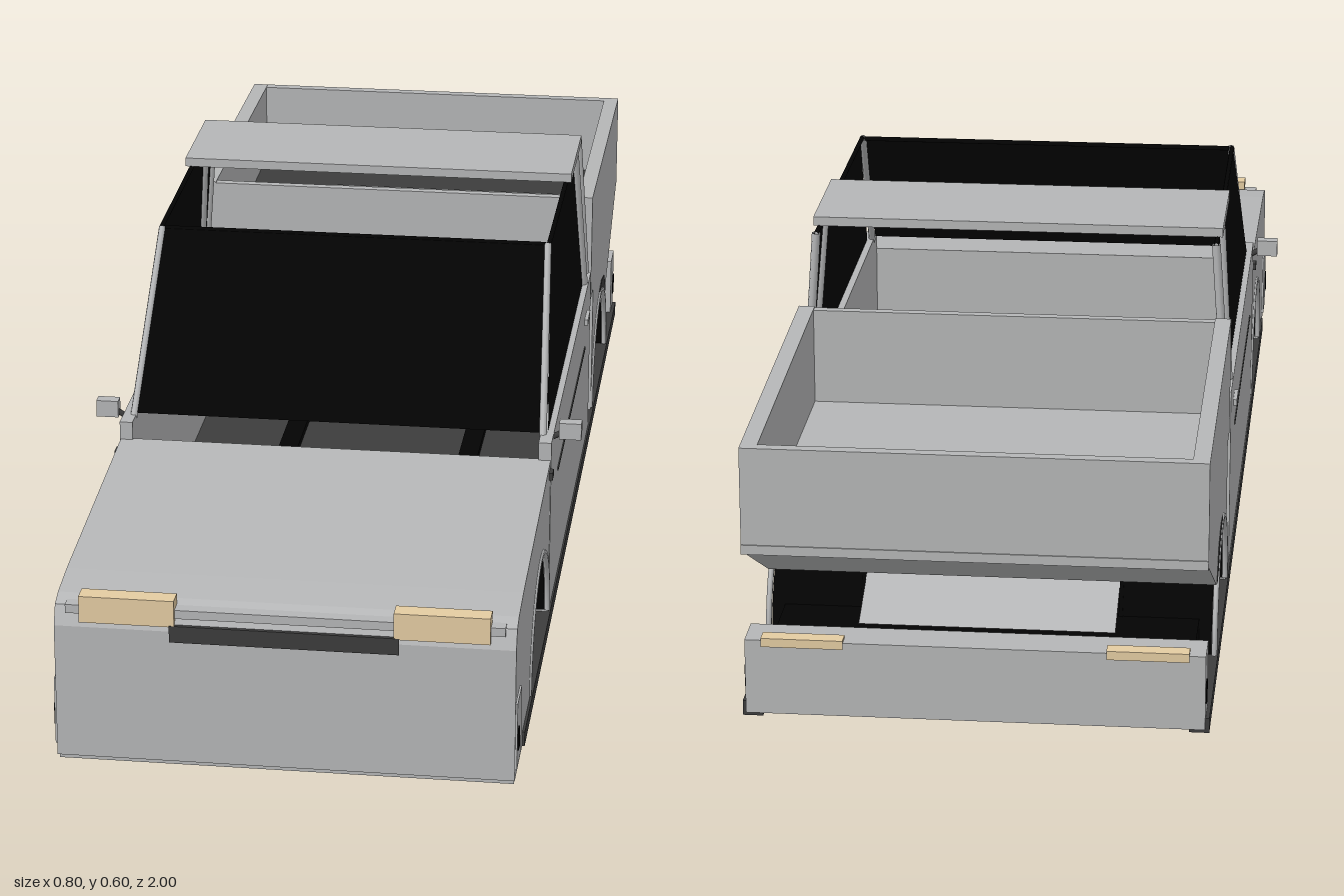
import * as THREE from 'three';

const mat = (name, color, side = THREE.FrontSide) => {
  const m = new THREE.MeshStandardMaterial({ color, side });
  m.name = name;
  return m;
};

export function createModel() {
  const root = new THREE.Group();
  root.name = 'pickupBody';
  const grey = mat('bodyGrey', 0xb5b6b7, THREE.DoubleSide);
  const dark = mat('darkGrey', 0x3c3c3c, THREE.DoubleSide);
  const black = mat('black', 0x030303, THREE.DoubleSide);
  const tan = mat('lampTan', 0xe4cca2);

  const add = (name, geo, m) => {
    const mesh = new THREE.Mesh(geo, m);
    mesh.name = name;
    root.add(mesh);
    return mesh;
  };
  // box given by its limits
  const box = (name, m, x0, x1, y0, y1, z0, z1) =>
    add(name, new THREE.BoxGeometry(x1 - x0, y1 - y0, z1 - z0)
      .translate((x0 + x1) / 2, (y0 + y1) / 2, (z0 + z1) / 2), m);
  // the same box on both sides
  const pair = (name, m, x0, x1, ...r) => {
    box(name + 'Left', m, x0, x1, ...r);
    box(name + 'Right', m, -x1, -x0, ...r);
  };
  // side profile in (z, y), extruded from x0 to x1
  const profile = (name, m, shape, x0, x1) =>
    add(name, new THREE.ExtrudeGeometry(shape, { depth: x1 - x0, bevelEnabled: false, curveSegments: 24 })
      .rotateY(-Math.PI / 2).translate(x1, 0, 0), m);
  const profilePair = (name, m, shape, x0, x1) => {
    profile(name + 'Left', m, shape, x0, x1);
    profile(name + 'Right', m, shape, -x1, -x0);
  };
  const poly = pts => new THREE.Shape(pts.map(p => new THREE.Vector2(...p)));
  // flat sheet from four corners
  const quad = (name, m, pts) => {
    const g = new THREE.BufferGeometry();
    g.setAttribute('position', new THREE.Float32BufferAttribute(pts.flat(), 3));
    g.setIndex([0, 1, 2, 0, 2, 3]);
    g.computeVertexNormals();
    return add(name, g, m);
  };
  const rod = (name, m, a, b, r) => add(name, new THREE.TubeGeometry(
    new THREE.LineCurve3(new THREE.Vector3(...a), new THREE.Vector3(...b)), 1, r, 8), m);

  // Front body: centre block and fenders with wheel arches
  const nose = [[0.998, 0.012], [0.998, 0.23], [0.985, 0.26], [0.96, 0.269], [0.89, 0.277], [0.43, 0.302]];
  profile('hoodBlock', grey, poly([[0.43, 0.012], ...nose]), -0.2, 0.2);
  const fender = new THREE.Shape().moveTo(0.43, 0.012).lineTo(0.44, 0.012).lineTo(0.44, 0.04);
  fender.absarc(0.6, 0.04, 0.16, Math.PI, 0, true);
  fender.lineTo(0.76, 0.012);
  nose.forEach(p => fender.lineTo(...p));
  profilePair('frontFender', grey, fender, 0.2, 0.352);
  box('frontUndertray', grey, -0.35, 0.35, 0.003, 0.011, 0.43, 0.99);
  profilePair('frontWellShade', black,
    poly([[0.44, 0.02], [0.76, 0.02], [0.755, 0.08], [0.72, 0.145], [0.44, 0.04]]), 0.2, 0.206);

  // Wheel well liners (upper half only) and arch trims
  for (const s of [-1, 1]) for (const z of [0.6, -0.6]) {
    const well = add('wheelWell', new THREE.CylinderGeometry(0.158, 0.158, 0.142, 32, 1, true, 0, Math.PI)
      .rotateZ(Math.PI / 2), black);
    well.position.set(s * 0.275, 0.04, z);
    const trim = add('archTrim', new THREE.TorusGeometry(0.16, 0.005, 6, 32, Math.PI).rotateY(Math.PI / 2), grey);
    trim.position.set(s * 0.351, 0.04, z);
  }

  // Nose details
  pair('headlamp', tan, 0.167, 0.313, 0.238, 0.281, 0.97, 0.9995);
  box('grille', dark, -0.175, 0.175, 0.213, 0.24, 0.97, 1.0);
  box('noseBar', grey, -0.335, 0.335, 0.25, 0.264, 0.96, 0.994);
  pair('frontBumperEnd', grey, 0.35, 0.355, 0.03, 0.14, 0.93, 0.995);
  pair('frontMarker', black, 0.354, 0.357, 0.06, 0.095, 0.975, 0.99);
  pair('sideMarker', dark, 0.351, 0.358, 0.278, 0.29, 0.44, 0.46);

  // Doors, sills and cab floor
  pair('door', grey, 0.332, 0.353, 0.035, 0.332, -0.36, 0.435);
  pair('doorCrease', dark, 0.352, 0.355, 0.232, 0.236, -0.24, 0.31);
  pair('doorHandle', grey, 0.352, 0.359, 0.28, 0.29, -0.28, -0.23);
  pair('sill', dark, 0.325, 0.356, 0.012, 0.036, -0.99, 0.88);
  pair('sillLining', grey, 0.318, 0.325, 0.011, 0.045, -0.38, 0.43);
  box('cabFloor', dark, -0.335, 0.335, 0.048, 0.054, -0.38, 0.43);
  box('cabFloorUnderside', grey, -0.335, 0.335, 0.043, 0.048, -0.38, 0.43);
  pair('floorRail', black, 0.143, 0.177, 0.015, 0.065, -0.38, 0.43);

  // Cab glass and pillars
  quad('windshield', black, [[-0.33, 0.335, 0.4], [0.33, 0.335, 0.4], [0.316, 0.584, 0.19], [-0.316, 0.584, 0.19]]);
  for (const s of [-1, 1]) {
    quad('sideWindow', black, [[s * 0.343, 0.333, 0.385], [s * 0.343, 0.333, -0.35], [s * 0.325, 0.583, -0.35], [s * 0.325, 0.583, 0.185]]);
    rod('frontPillar', grey, [s * 0.336, 0.327, 0.4], [s * 0.321, 0.583, 0.188], 0.006);
    rod('middlePillar', grey, [s * 0.343, 0.333, -0.3], [s * 0.326, 0.583, -0.262], 0.009);
    rod('rearPillar', grey, [s * 0.343, 0.325, -0.357], [s * 0.325, 0.583, -0.357], 0.007);
    rod('roofRail', black, [s * 0.323, 0.582, 0.19], [s * 0.325, 0.582, -0.36], 0.004);
    // Mirror arm
    rod('mirrorArm', dark, [s * 0.345, 0.322, 0.39], [s * 0.375, 0.338, 0.39], 0.005);
  }
  rod('windshieldHeader', black, [-0.318, 0.582, 0.188], [0.318, 0.582, 0.188], 0.004);
  pair('mirror', grey, 0.362, 0.398, 0.325, 0.353, 0.38, 0.4);
  box('roofPanel', grey, -0.334, 0.334, 0.585, 0.6, -0.325, -0.115);

  // Cargo bed: sides, walls, floor and sloped underside
  const bedSide = new THREE.Shape().moveTo(-0.38, 0.465).lineTo(-0.38, 0.272).lineTo(-0.436, 0.272)
    .lineTo(-0.436, 0.02).lineTo(-0.44, 0.02).lineTo(-0.44, 0.04);
  bedSide.absarc(-0.6, 0.04, 0.16, 0, Math.PI * 0.76, false);
  bedSide.lineTo(-0.745, 0.152).lineTo(-0.998, 0.285).lineTo(-0.998, 0.45);
  profilePair('bedSide', grey, bedSide, 0.326, 0.352);
  profilePair('archShade', dark, poly([[-0.59, 0.207], [-0.64, 0.213], [-0.7, 0.2], [-0.745, 0.155],
    [-0.715, 0.16], [-0.66, 0.192]]), 0.35, 0.3535);
  box('bedFrontWall', grey, -0.326, 0.326, 0.272, 0.463, -0.395, -0.38);
  box('bedLowerFront', grey, -0.326, 0.326, 0.09, 0.29, -0.446, -0.438);
  box('tailgate', grey, -0.326, 0.326, 0.285, 0.45, -0.998, -0.98);
  box('tailgateLip', grey, -0.352, 0.352, 0.28, 0.295, -1.0, -0.985);
  box('bedFloor', grey, -0.326, 0.326, 0.3, 0.306, -0.98, -0.39);
  add('bedFloorRear', new THREE.ShapeGeometry(poly([[-0.326, 0.79], [-0.17, 0.832], [0.326, 0.832],
    [0.326, 0.98], [-0.326, 0.98]])).rotateX(-Math.PI / 2).translate(0, 0.309, 0), dark);
  profile('bedUnderside', grey, poly([[-0.998, 0.285], [-0.745, 0.152], [-0.735, 0.16], [-0.99, 0.297]]), -0.326, 0.326);

  // Rear chassis, sloped panel over it and wheel well backs
  box('rearChassis', black, -0.326, 0.326, 0.01, 0.095, -0.95, -0.385);
  quad('rearSlope', grey, [[-0.2, 0.097, -0.82], [0.2, 0.097, -0.82], [0.2, 0.19, -0.6], [-0.2, 0.19, -0.6]]);
  const half = new THREE.Shape().moveTo(-0.44, 0.02);
  half.lineTo(-0.44, 0.04).absarc(-0.6, 0.04, 0.16, 0, Math.PI, false).lineTo(-0.76, 0.02);
  profilePair('rearWellBack', black, half, 0.2, 0.206);

  // Rear bumper and lamps
  box('rearBumper', grey, -0.35, 0.35, 0.02, 0.14, -0.998, -0.935);
  pair('rearLamp', tan, 0.2, 0.325, 0.13, 0.144, -1.0, -0.975);
  pair('rearMarker', black, 0.349, 0.352, 0.06, 0.095, -0.99, -0.975);
  return root;
}
